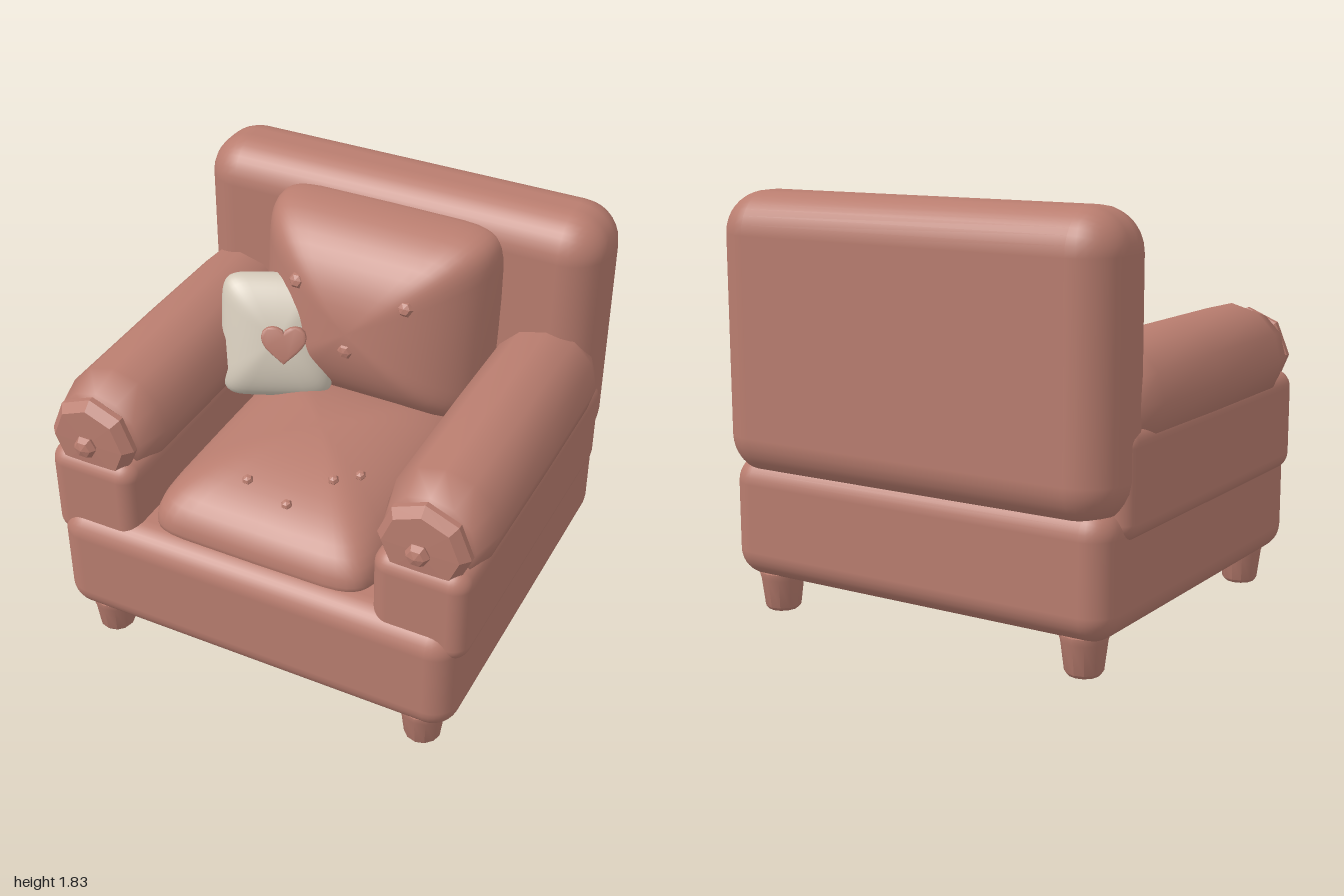
import * as THREE from 'three';
import { mergeVertices, toCreasedNormals } from 'three/addons/utils/BufferGeometryUtils.js';
import { RoundedBoxGeometry } from 'three/addons/geometries/RoundedBoxGeometry.js';

const fabric = new THREE.MeshStandardMaterial({ color: 0xb97d6f });
fabric.name = 'rose fabric';
const linen = new THREE.MeshStandardMaterial({ color: 0xd2c8b8 });
linen.name = 'cream linen';

function add(parent, name, geometry, position = [0, 0, 0], material = fabric) {
  const mesh = new THREE.Mesh(geometry, material);
  mesh.name = name;
  mesh.position.set(...position);
  parent.add(mesh);
  return mesh;
}

// Smooth normals across seams
function smooth(geometry) {
  geometry.deleteAttribute('uv');
  geometry.deleteAttribute('normal');
  const merged = mergeVertices(geometry, 1e-4);
  merged.computeVertexNormals();
  return merged;
}

// Faceted normals
function faceted(geometry) {
  const flat = geometry.index ? geometry.toNonIndexed() : geometry;
  flat.computeVertexNormals();
  return flat;
}

// Rounded box given by its limits
function block(parent, name, [x0, x1], [y0, y1], [z0, z1], radius) {
  const geometry = new RoundedBoxGeometry(x1 - x0, y1 - y0, z1 - z0, 4, radius);
  return add(parent, name, geometry, [(x0 + x1) / 2, (y0 + y1) / 2, (z0 + z1) / 2]);
}

// Signed power for the squared outline of a cushion
const power = (v, e) => (Math.abs(v) < 1e-6 ? 0 : Math.sign(v) * Math.abs(v) ** e);

// Square cushion lying flat: domed above, and below as set by lowerPower
function cushion(halfX, halfZ, top, bottom, corner, lowerPower) {
  const geometry = new THREE.SphereGeometry(1, 40, 24);
  const p = geometry.attributes.position;
  for (let i = 0; i < p.count; i++) {
    const x = p.getX(i), y = p.getY(i), z = p.getZ(i);
    const r = Math.hypot(x, z);
    const n = y < 0 ? lowerPower : 1;
    const spread = power(r, n);
    const c = r > 1e-6 ? x / r : 0, s = r > 1e-6 ? z / r : 0;
    p.setXYZ(i,
      halfX * power(c, corner) * spread,
      (y < 0 ? bottom : top) * power(y, n),
      halfZ * power(s, corner) * spread);
  }
  return smooth(geometry);
}

// Turned shape along z with its underside cut flat
function roll(profile, sides, floor) {
  const points = profile.map(([r, z]) => new THREE.Vector2(r, z));
  const geometry = new THREE.LatheGeometry(points, sides).rotateX(Math.PI / 2);
  const p = geometry.attributes.position;
  for (let i = 0; i < p.count; i++) p.setY(i, Math.max(p.getY(i), floor));
  return geometry;
}

function button(parent, name, position, radius, depth, tilt) {
  const geometry = faceted(new THREE.SphereGeometry(1, 6, 4).scale(radius, depth, radius));
  add(parent, name, geometry, position).rotation.x = tilt;
}

function heartGeometry() {
  const s = new THREE.Shape();
  s.moveTo(0, -0.075);
  s.bezierCurveTo(0.03, -0.045, 0.09, -0.01, 0.09, 0.035);
  s.bezierCurveTo(0.09, 0.085, 0.015, 0.085, 0, 0.04);
  s.bezierCurveTo(-0.015, 0.085, -0.09, 0.085, -0.09, 0.035);
  s.bezierCurveTo(-0.09, -0.01, -0.03, -0.045, 0, -0.075);
  const geometry = new THREE.ExtrudeGeometry(s, {
    depth: 0.02, curveSegments: 6, bevelSize: 0.01, bevelThickness: 0.012, bevelSegments: 2,
  });
  return toCreasedNormals(geometry, 0.7);
}

export function createModel() {
  const chair = new THREE.Group();
  chair.name = 'armchair';

  // Frame
  block(chair, 'base', [-0.935, 0.935], [0.155, 0.695], [-0.845, 0.89], 0.12);
  block(chair, 'backrest', [-0.955, 0.955], [0.61, 1.83], [-0.89, -0.47], 0.18);

  // Legs
  const legProfile = [[0, 0], [0.066, 0], [0.079, 0.015], [0.095, 0.14], [0.1, 0.155], [0.1, 0.17], [0, 0.17]]
    .map(([r, y]) => new THREE.Vector2(r, y));
  const leg = toCreasedNormals(new THREE.LatheGeometry(legProfile, 12), 0.7);
  for (const x of [-0.765, 0.765]) {
    add(chair, 'frontLeg', leg, [x, 0, 0.745]);
    add(chair, 'backLeg', leg, [x, 0, -0.7]);
  }

  // Arms: side panel, padded roll, end disc and button
  const armRoll = smooth(roll(
    [[0, -0.67], [0.12, -0.66], [0.2, -0.6], [0.24, -0.5], [0.243, 0], [0.24, 0.6], [0.2, 0.745], [0, 0.745]], 12, -0.15));
  const armDisc = faceted(roll(
    [[0, 0.73], [0.165, 0.735], [0.2, 0.765], [0.2, 0.79], [0.165, 0.83], [0, 0.835]], 8, -0.15));
  for (const side of [-1, 1]) {
    const arm = new THREE.Group();
    arm.name = side > 0 ? 'leftArm' : 'rightArm';
    arm.position.x = side * 0.757;
    chair.add(arm);
    block(arm, 'armPanel', [-0.21, 0.21], [0.54, 1.0], [-0.72, 0.85], 0.08);
    add(arm, 'armRoll', armRoll, [0, 1.07, 0]);
    add(arm, 'armDisc', armDisc, [0, 1.07, 0]);
    button(arm, 'armButton', [0, 1.07, 0.85], 0.053, 0.036, Math.PI / 2);
  }

  // Seat cushion with scattered buttons
  add(chair, 'seatCushion', cushion(0.525, 0.63, 0.275, 0.035, 0.25, 0.3), [0, 0.725, 0.19]);
  for (const [x, y, z] of [[-0.13, 0.945, 0.6], [0.08, 0.925, 0.65], [0.21, 0.98, 0.48], [0.29, 0.967, 0.39]])
    button(chair, 'seatButton', [x, y, z], 0.025, 0.018, 0.3);

  // Back cushion, leaning on the backrest
  const backCushion = cushion(0.545, 0.46, 0.39, 0.05, 0.25, 0.3).rotateX(Math.PI / 2);
  add(chair, 'backCushion', backCushion, [0, 1.29, -0.43]).rotation.x = -0.09;
  for (const [x, y, z, tilt] of [[-0.265, 1.49, -0.11, 1.2], [0.25, 1.49, -0.11, 1.2], [0, 1.24, -0.045, 1.57]])
    button(chair, 'backButton', [x, y, z], 0.038, 0.022, tilt);

  // Throw pillow with a heart
  const pillow = new THREE.Group();
  pillow.name = 'throwPillow';
  pillow.position.set(-0.36, 1.19, -0.1);
  pillow.rotation.set(-0.35, 0.42, 0, 'YXZ');
  chair.add(pillow);
  add(pillow, 'pillowBody', cushion(0.25, 0.28, 0.12, 0.1, 0.3, 1).rotateX(Math.PI / 2), [0, 0, 0], linen);
  add(pillow, 'heart', heartGeometry(), [0.035, -0.02, 0.105]);

  return chair;
}
